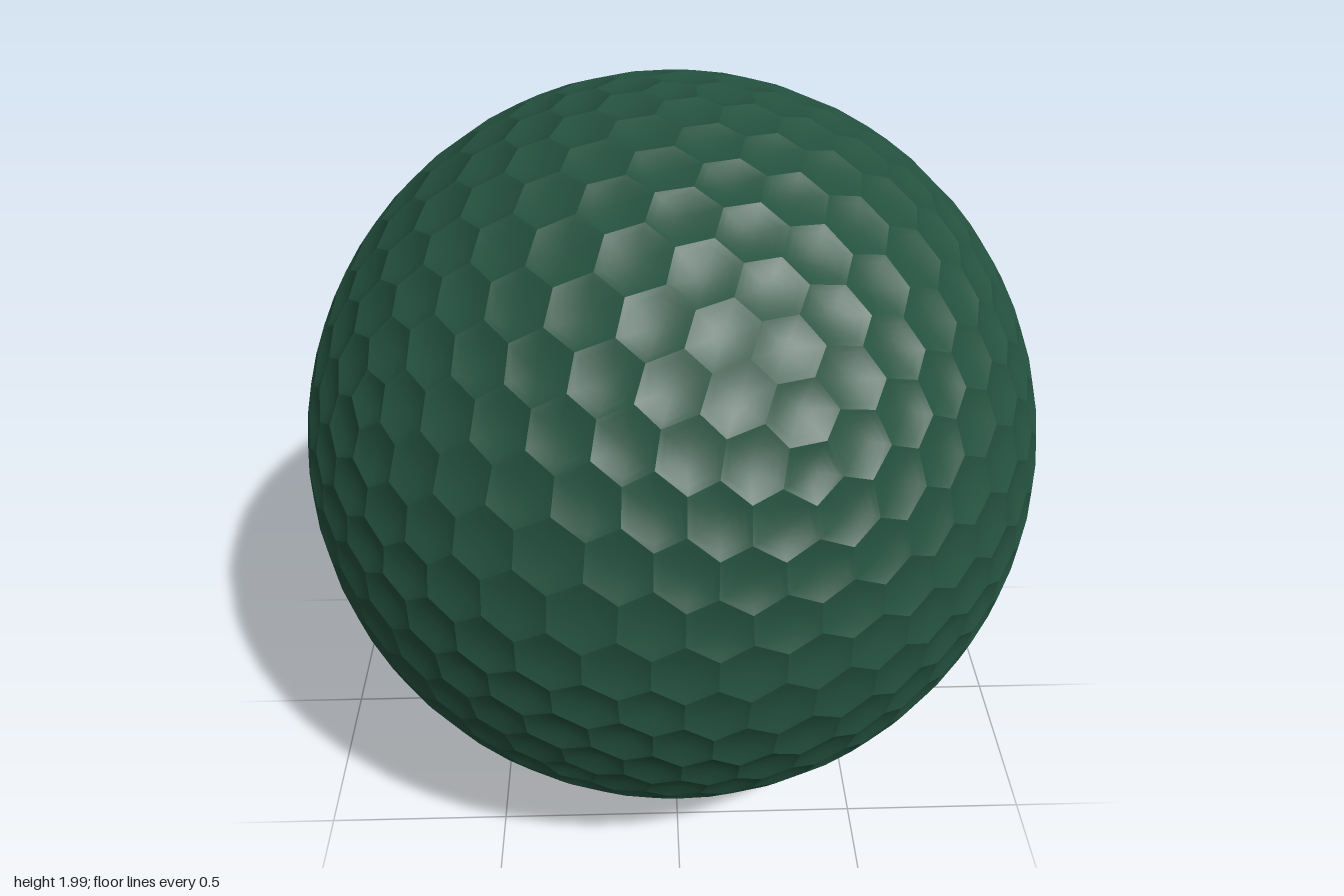
import * as THREE from 'three';

const DEPTH = 0.016;              // how far each dimple sinks
const RINGS = [1, 0.8, 0.55, 0.3]; // dimple rings from rim to middle

// Icosahedron with poles on y, split three times onto the unit sphere
function sphereNet(levels) {
  const verts = [new THREE.Vector3(0, 1, 0)];
  const ring = (y, shift) => {
    for (let i = 0; i < 5; i++) {
      const a = (i * 72 + shift) * Math.PI / 180;
      verts.push(new THREE.Vector3(Math.cos(a) * 2, y, Math.sin(a) * 2).normalize());
    }
  };
  ring(1, 0);
  ring(-1, 36);
  verts.push(new THREE.Vector3(0, -1, 0));
  let faces = [];
  for (let i = 0; i < 5; i++) {
    const j = (i + 1) % 5;
    faces.push([0, 1 + j, 1 + i], [1 + i, 1 + j, 6 + i], [1 + j, 6 + j, 6 + i], [11, 6 + i, 6 + j]);
  }
  for (let l = 0; l < levels; l++) {
    const mids = new Map();
    const mid = (a, b) => {
      const key = Math.min(a, b) + '_' + Math.max(a, b);
      if (!mids.has(key)) {
        mids.set(key, verts.length);
        verts.push(verts[a].clone().add(verts[b]).normalize());
      }
      return mids.get(key);
    };
    faces = faces.flatMap(([a, b, c]) => {
      const ab = mid(a, b), bc = mid(b, c), ca = mid(c, a);
      return [[a, ab, ca], [b, bc, ab], [c, ca, bc], [ab, bc, ca]];
    });
  }
  return { verts, faces };
}

// One hollow per net vertex, bounded by the centres of the surrounding faces
function dimpledSphere() {
  const { verts, faces } = sphereNet(3);
  const cells = verts.map(() => []);
  for (const f of faces) {
    const c = new THREE.Vector3();
    f.forEach(i => c.add(verts[i]));
    c.normalize();
    f.forEach(i => cells[i].push(c));
  }
  const pos = [], index = [];
  cells.forEach((corners, v) => {
    const n = verts[v];
    const u = corners[0].clone().addScaledVector(n, -corners[0].dot(n)).normalize();
    const w = n.clone().cross(u);
    const angle = p => Math.atan2(p.dot(w), p.dot(u));
    corners.sort((a, b) => angle(a) - angle(b)); // counter-clockwise from outside
    const base = pos.length / 3, k = corners.length;
    for (const t of RINGS) {
      for (const c of corners) {
        const p = n.clone().lerp(c, t).setLength(1 - DEPTH * (1 - t * t));
        pos.push(p.x, p.y, p.z);
      }
    }
    const m = n.clone().multiplyScalar(1 - DEPTH);
    pos.push(m.x, m.y, m.z);
    const centre = base + RINGS.length * k;
    for (let i = 0; i < k; i++) {
      const j = (i + 1) % k;
      for (let r = 0; r < RINGS.length - 1; r++) {
        const o = base + r * k, q = o + k;
        index.push(o + i, o + j, q + j, o + i, q + j, q + i);
      }
      const last = centre - k;
      index.push(last + i, last + j, centre);
    }
  });
  const g = new THREE.BufferGeometry();
  g.setAttribute('position', new THREE.Float32BufferAttribute(pos, 3));
  g.setIndex(index);
  g.computeVertexNormals(); // smooth in each dimple, sharp at its rim
  return g;
}

export function createModel() {
  const group = new THREE.Group();
  group.name = 'golfBall';
  const green = new THREE.MeshStandardMaterial({ color: 0x24513f });
  green.name = 'dark green';
  const ball = new THREE.Mesh(dimpledSphere(), green);
  ball.name = 'dimpledBall';
  ball.position.y = 1;
  group.add(ball);
  return group;
}
